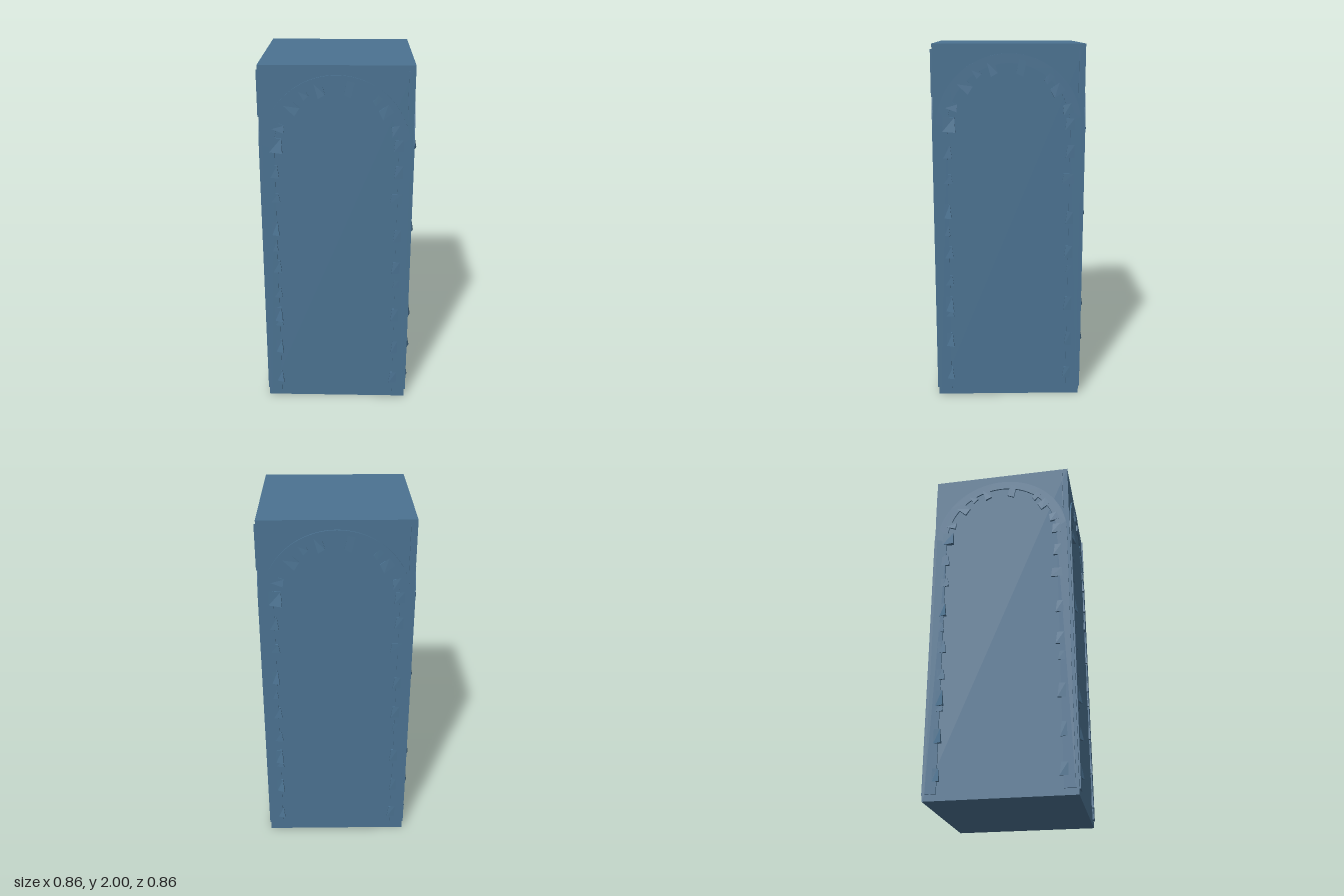
import * as THREE from 'three';

const HALF = 0.405;     // half width of the square pillar
const SPRING = 1.56;    // height where the arch begins to curve
const RELIEF = 0.008;   // how far the arch stands off the wall

// Flat arch band: straight legs below, rounded head above
function archGeometry() {
  const s = new THREE.Shape();
  s.moveTo(-0.39, 0.035);
  s.lineTo(-0.39, SPRING);
  s.absarc(0, SPRING, 0.39, Math.PI, 0, true);
  s.lineTo(0.39, 0.035);
  s.lineTo(0.33, 0.035);
  s.lineTo(0.33, SPRING);
  s.absellipse(0, SPRING, 0.33, 0.34, 0, Math.PI, false);
  s.lineTo(-0.33, 0.035);
  s.closePath();
  return new THREE.ExtrudeGeometry(s, { depth: RELIEF, bevelEnabled: false, curveSegments: 32 });
}

// Chipped tooth: runs along +x, thickest at its inner lower edge
function toothGeometry(length, width, rise, up) {
  const g = new THREE.BoxGeometry(length, width, 1);
  const p = g.attributes.position;
  for (let i = 0; i < p.count; i++) {
    const inner = p.getX(i) > 0;
    const top = p.getY(i) * up > 0;
    if (p.getZ(i) < 0) p.setZ(i, -0.002);
    else p.setZ(i, inner ? (top ? Math.max(rise * 0.4, RELIEF) : rise) : RELIEF);
    if (inner && top) p.setX(i, length / 2 - 0.009);
  }
  const flat = g.toNonIndexed();
  flat.computeVertexNormals();
  return flat;
}

// Legs: [height of centre, width, inward reach, rise from the wall]
const LEFT = [
  [1.43, 0.07, 0.022, 0.013], [1.28, 0.05, 0.024, 0.01], [1.1, 0.08, 0.015, 0.023],
  [0.99, 0.06, 0.006, 0.012], [0.865, 0.07, 0.022, 0.014], [0.7, 0.06, 0.022, 0.012],
  [0.56, 0.09, 0.02, 0.025], [0.505, 0.04, 0.02, 0.012], [0.345, 0.08, 0.018, 0.025],
  [0.135, 0.07, 0.015, 0.02],
];
const RIGHT = [
  [1.43, 0.07, 0.022, 0.012], [1.28, 0.055, 0.04, 0.009], [1.06, 0.07, 0.018, 0.012],
  [0.865, 0.07, 0.022, 0.013], [0.76, 0.05, 0.012, 0.009], [0.56, 0.08, 0.02, 0.012],
  [0.345, 0.08, 0.012, 0.012], [0.135, 0.07, 0.02, 0.013],
];
// Head: [angle in degrees, width, inward reach, rise from the wall]
const HEAD = [
  [3, 0.06, 0.028, 0.012], [17, 0.05, 0.03, 0.013], [37, 0.05, 0.045, 0.012],
  [50, 0.03, 0.03, 0.009], [78, 0.04, 0.06, 0.009], [106, 0.04, 0.055, 0.014],
  [121, 0.035, 0.03, 0.01], [137, 0.05, 0.055, 0.012], [160, 0.04, 0.04, 0.013],
  [177, 0.08, 0.045, 0.025],
];

function addTooth(group, material, angle, cx, cy, [, width, reach, rise]) {
  const overlap = 0.025;
  const up = Math.cos(angle) < 0 ? 1 : -1;
  const tooth = new THREE.Mesh(toothGeometry(reach + overlap, width, rise, up), material);
  const shift = (overlap - reach) / 2;
  tooth.position.set(cx + Math.cos(angle) * shift, cy + Math.sin(angle) * shift, 0);
  tooth.rotation.z = angle + Math.PI;
  tooth.name = 'archTooth';
  group.add(tooth);
}

function createSide(material) {
  const side = new THREE.Group();
  const arch = new THREE.Mesh(archGeometry(), material);
  arch.name = 'archBand';
  side.add(arch);

  // Teeth along both legs and around the head
  LEFT.forEach((t) => addTooth(side, material, Math.PI, -0.33, t[0], t));
  RIGHT.forEach((t) => addTooth(side, material, 0, 0.33, t[0], t));
  HEAD.forEach((t) => {
    const a = THREE.MathUtils.degToRad(t[0]);
    addTooth(side, material, a, 0.33 * Math.cos(a), SPRING + 0.34 * Math.sin(a), t);
  });

  // Thin upright fin beside the arch head
  const fin = new THREE.Mesh(new THREE.BoxGeometry(0.004, 0.25, 0.012), material);
  fin.position.set(0.372, 1.845, 0.005);
  fin.name = 'cornerFin';
  side.add(fin);
  return side;
}

export function createModel() {
  const model = new THREE.Group();
  model.name = 'archedPillar';
  const blue = new THREE.MeshStandardMaterial({ color: 0x4b7291 });
  blue.name = 'slateBlue';

  // Main block
  const block = new THREE.Mesh(new THREE.BoxGeometry(HALF * 2, 2, HALF * 2), blue);
  block.position.y = 1;
  block.name = 'pillarBlock';
  model.add(block);

  // The same arch on all four walls
  ['front', 'left', 'back', 'right'].forEach((name, i) => {
    const side = createSide(blue);
    const a = (i * Math.PI) / 2;
    side.rotation.y = a;
    side.position.set(Math.sin(a) * HALF, 0, Math.cos(a) * HALF);
    side.name = name + 'Arch';
    model.add(side);
  });
  return model;
}
